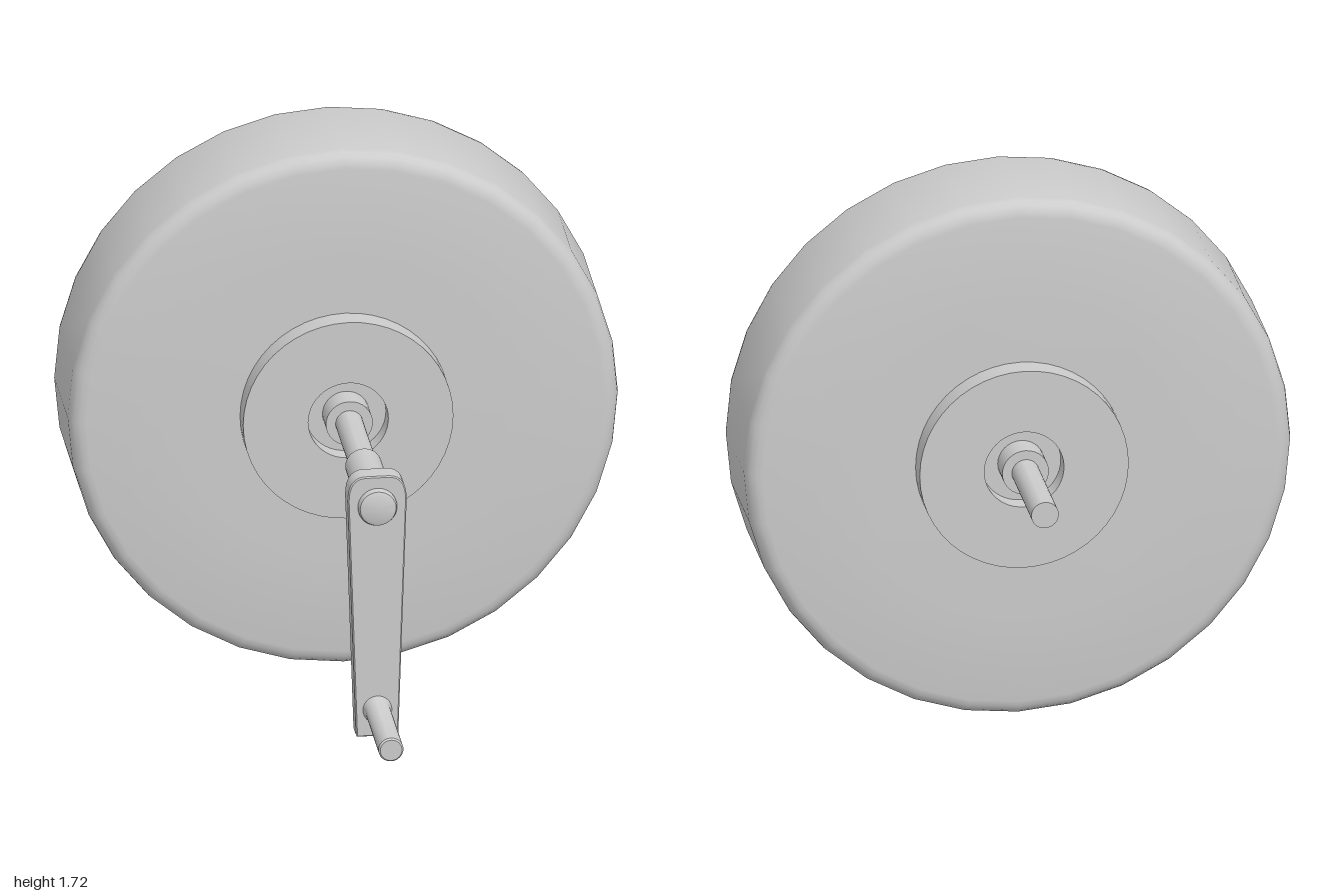
import * as THREE from 'three';
import { toCreasedNormals } from 'three/addons/utils/BufferGeometryUtils.js';

const material = new THREE.MeshStandardMaterial({ color: 0xcccccc });
const AXLE_Y = 0.86;
const HANDLE_Y = 0.18;

function addMesh(group, name, geometry, crease = 0.6) {
  const mesh = new THREE.Mesh(toCreasedNormals(geometry, crease), material);
  mesh.name = name;
  group.add(mesh);
  return mesh;
}

// Turned part along z: profile of [radius, z], listed from back to front
function turned(group, name, profile, y, segments = 32, crease = 0.6) {
  const points = profile.map(([r, z]) => new THREE.Vector2(r, z));
  const geometry = new THREE.LatheGeometry(points, segments).rotateX(Math.PI / 2);
  const mesh = addMesh(group, name, geometry, crease);
  mesh.position.y = y;
  return mesh;
}

// Reflects a half profile about z = 0 so that both ends match
function mirrored(half) {
  return [...half.map(([r, z]) => [r, -z]), ...half.slice().reverse()];
}

export function createModel() {
  const model = new THREE.Group();
  model.name = 'crankWheel';

  // Wheel with slightly domed faces and rounded shoulders
  const wheel = new THREE.Group();
  wheel.name = 'wheel';
  wheel.position.z = -0.325;
  model.add(wheel);
  const shoulder = [];
  for (let i = 0; i <= 4; i++) {
    const a = (i / 4) * Math.PI / 2;
    shoulder.push([0.808 + 0.05 * Math.sin(a), 0.163 + 0.05 * Math.cos(a)]);
  }
  turned(wheel, 'tyre', mirrored([[0.125, 0.22], [0.5, 0.218], ...shoulder]), AXLE_Y, 32, 0.8);

  // Hub flanges on both faces, each with a recess around the axle
  turned(wheel, 'hub', mirrored([[0, 0.235], [0.125, 0.235], [0.125, 0.295], [0.328, 0.295], [0.328, 0.2]]), AXLE_Y, 48);

  // Bearing collar showing at both ends of the hub
  turned(wheel, 'bearingCollar', mirrored([[0, 0.32], [0.073, 0.32], [0.073, 0.2]]), AXLE_Y);

  // Axle with the thicker sleeve that carries the crank
  turned(model, 'axle', [[0, -1], [0.043, -1], [0.043, 0.34], [0, 0.34]], AXLE_Y);
  turned(model, 'crankSleeve', [
    [0, 0.33], [0.052, 0.33], [0.057, 0.336], [0.057, 0.58], [0.061, 0.6],
    [0.061, 0.675], [0.056, 0.687], [0.045, 0.692], [0, 0.692],
  ], AXLE_Y);

  // Tapered crank arm with rounded upper corners
  const arm = new THREE.Shape();
  arm.moveTo(-0.06, 0.09);
  arm.lineTo(0.06, 0.09);
  arm.quadraticCurveTo(0.066, 0.09, 0.066, 0.098);
  arm.lineTo(0.092, 0.88);
  arm.bezierCurveTo(0.092, 0.93, 0.075, 0.96, 0.035, 0.96);
  arm.lineTo(-0.035, 0.96);
  arm.bezierCurveTo(-0.075, 0.96, -0.092, 0.93, -0.092, 0.88);
  arm.lineTo(-0.066, 0.098);
  arm.quadraticCurveTo(-0.066, 0.09, -0.06, 0.09);
  const armGeometry = new THREE.ExtrudeGeometry(arm, {
    depth: 0.062, bevelEnabled: true, bevelThickness: 0.004, bevelSize: 0.004,
    bevelOffset: -0.004, bevelSegments: 1, curveSegments: 8,
  });
  addMesh(model, 'crankArm', armGeometry, 0.5).position.z = 0.602;

  // Handle, with its rounded end showing behind the arm
  turned(model, 'handle', [
    [0, 0.578], [0.032, 0.578], [0.041, 0.584], [0.045, 0.596], [0.045, 0.672],
    [0.039, 0.685], [0.039, 0.994], [0.034, 1], [0, 1],
  ], HANDLE_Y);

  return model;
}
